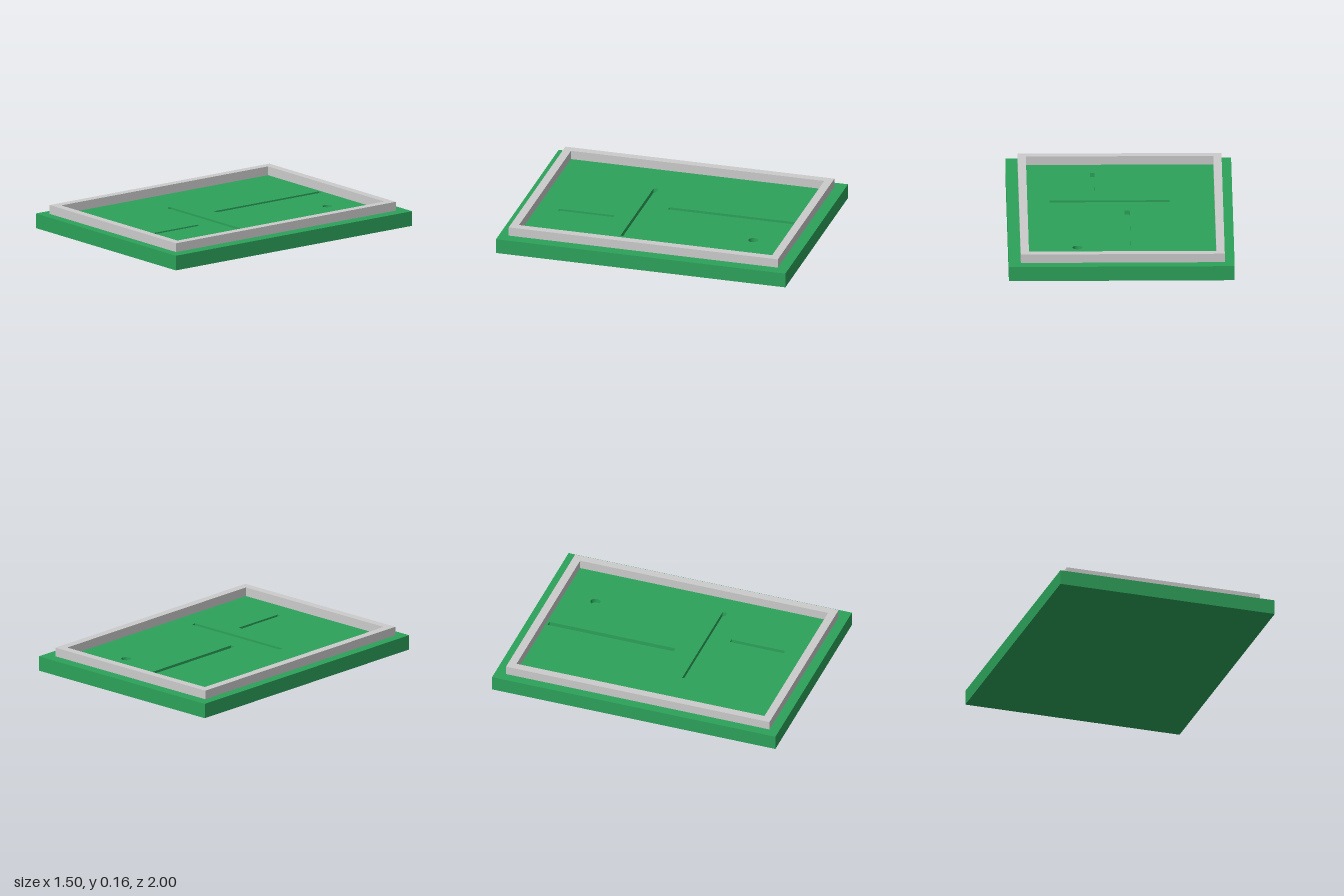
import * as THREE from 'three';
import { mergeGeometries } from 'three/addons/utils/BufferGeometryUtils.js';

// Outlines are drawn in plan: x to the right, y = -z, counter-clockwise
const rect = (x0, x1, z0, z1) => [[x0, -z1], [x1, -z1], [x1, -z0], [x0, -z0]]
  .map(([x, y]) => new THREE.Vector2(x, y));

const circle = (x, z, r, n) => Array.from({ length: n }, (_, i) => {
  const a = (i / n) * Math.PI * 2;
  return new THREE.Vector2(x + r * Math.cos(a), -z + r * Math.sin(a));
});

// Horizontal face at height y, with optional holes
function face(outline, y, holes = []) {
  const shape = new THREE.Shape(outline);
  holes.forEach((h) => shape.holes.push(new THREE.Path(h)));
  return new THREE.ShapeGeometry(shape).rotateX(-Math.PI / 2).translate(0, y, 0).toNonIndexed();
}

// Vertical band around an outline; reverse the outline to face inward
function wall(outline, y0, y1) {
  const pos = [];
  outline.forEach((a, i) => {
    const b = outline[(i + 1) % outline.length];
    const A = [a.x, y0, -a.y], B = [b.x, y0, -b.y], C = [b.x, y1, -b.y], D = [a.x, y1, -a.y];
    pos.push(...A, ...B, ...C, ...A, ...C, ...D);
  });
  const g = new THREE.BufferGeometry();
  g.setAttribute('position', new THREE.Float32BufferAttribute(pos, 3));
  g.computeVertexNormals();
  return g;
}

function addMesh(group, name, geometry, color) {
  const mesh = new THREE.Mesh(geometry, new THREE.MeshStandardMaterial({ color }));
  mesh.name = name;
  group.add(mesh);
}

export function createModel() {
  const group = new THREE.Group();
  const green = 0x2ca25a;
  const top = 0.1, pocketFloor = 0.07;

  // Grooves and cup sunk into the board
  const pockets = {
    longGroove: rect(-0.065, -0.03, -0.855, 0.035),
    crossGroove: rect(-0.33, 0.465, 0.19, 0.222),
    shortGroove: rect(0.162, 0.19, 0.35, 0.73),
    cup: circle(0.29, -0.645, 0.033, 24),
  };

  // Solid board with openings in its top
  const edge = rect(-0.75, 0.75, -1, 1);
  const underside = face(edge, 0).rotateX(Math.PI);
  const board = [face(edge, top, Object.values(pockets)), wall(edge, 0, top), underside];
  board.forEach((g) => g.deleteAttribute('uv'));
  addMesh(group, 'board', mergeGeometries(board), green);

  for (const [name, outline] of Object.entries(pockets)) {
    const parts = [face(outline, pocketFloor), wall([...outline].reverse(), pocketFloor, top)];
    parts.forEach((g) => g.deleteAttribute('uv'));
    addMesh(group, name, mergeGeometries(parts), green);
  }

  // Raised rectangular border
  const border = new THREE.Shape(rect(-0.685, 0.67, -0.925, 0.935));
  border.holes.push(new THREE.Path(rect(-0.63, 0.615, -0.87, 0.88)));
  const rim = new THREE.ExtrudeGeometry(border, { depth: 0.06, bevelEnabled: false });
  addMesh(group, 'borderRim', rim.rotateX(-Math.PI / 2).translate(0, top, 0), 0xcccccc);

  return group;
}
